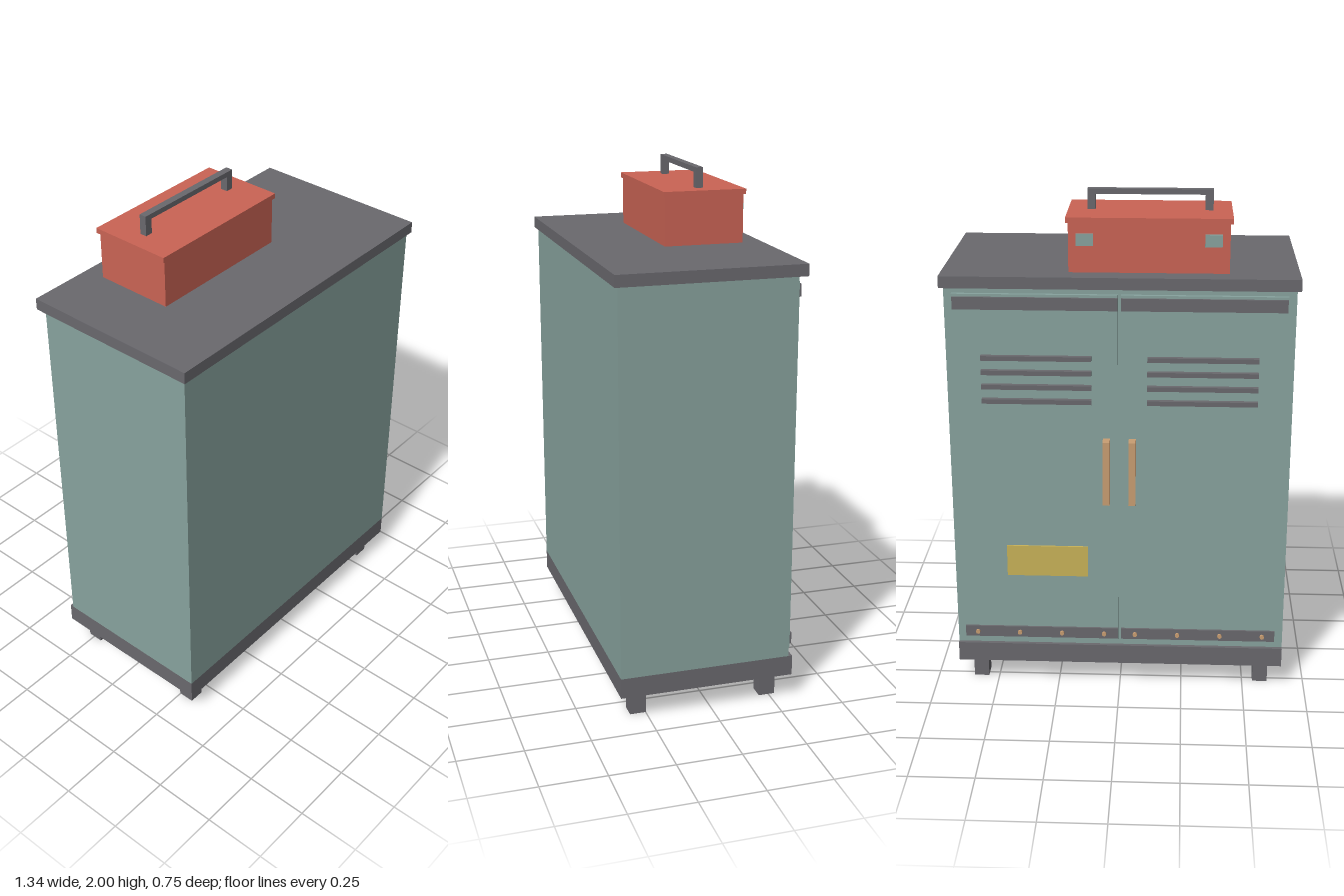
import * as THREE from 'three';

const material = (name, color) => {
  const m = new THREE.MeshStandardMaterial({ color });
  m.name = name;
  return m;
};

export function createModel() {
  const teal = material('teal paint', 0x88a39e);
  const dark = material('dark grey metal', 0x6a696e);
  const red = material('red paint', 0xcb6455);
  const tan = material('tan metal', 0xc99e73);
  const yellow = material('yellow label', 0xc9b359);

  const model = new THREE.Group();
  model.name = 'cabinet with toolbox';

  // Box given by its extents along each axis
  const box = (parent, name, mat, [x0, x1], [y0, y1], [z0, z1]) => {
    const mesh = new THREE.Mesh(new THREE.BoxGeometry(x1 - x0, y1 - y0, z1 - z0), mat);
    mesh.position.set((x0 + x1) / 2, (y0 + y1) / 2, (z0 + z1) / 2);
    mesh.name = name;
    parent.add(mesh);
    return mesh;
  };
  const group = (name) => {
    const g = new THREE.Group();
    g.name = name;
    model.add(g);
    return g;
  };

  // Cabinet carcass
  const cabinet = group('cabinet');
  box(cabinet, 'body', teal, [-0.655, 0.655], [0.18, 1.67], [-0.31, 0.36]);
  box(cabinet, 'plinth', dark, [-0.655, 0.655], [0.10, 0.18], [-0.325, 0.36]);
  box(cabinet, 'worktop', dark, [-0.668, 0.668], [1.67, 1.715], [-0.342, 0.373]);
  for (const x of [-0.573, 0.573])
    for (const z of [-0.243, 0.28])
      box(cabinet, 'foot', dark, [x - 0.03, x + 0.03], [0, 0.10], [z - 0.032, z + 0.032]);

  // Pair of doors on the back, mirrored about x = 0
  const doorFace = -0.325;
  for (const side of [-1, 1]) {
    const door = group(side > 0 ? 'leftDoor' : 'rightDoor');
    const span = (a, b) => (side > 0 ? [a, b] : [-b, -a]);
    box(door, 'doorPanel', teal, span(0.006, 0.625), [0.205, 1.645], [doorFace, -0.31]);
    box(door, 'topRail', dark, span(0.006, 0.622), [1.587, 1.635], [-0.333, doorFace]);
    box(door, 'bottomRail', dark, span(0.006, 0.622), [0.216, 0.262], [-0.333, doorFace]);

    // Vent slats
    for (let i = 0; i < 4; i++) {
      const y = 1.401 - i * 0.057;
      box(door, 'ventSlat', dark, span(0.105, 0.522), [y - 0.009, y + 0.009], [-0.344, doorFace]);
    }

    // Pull handle
    box(door, 'doorHandle', tan, span(0.036, 0.063), [0.82, 1.08], [-0.373, doorFace]);

    // Rivets along the bottom rail
    for (let i = 0; i < 4; i++) {
      const rivet = new THREE.Mesh(new THREE.CylinderGeometry(0.009, 0.009, 0.01, 8), tan);
      rivet.rotation.x = Math.PI / 2;
      rivet.position.set(side * (0.062 + i * 0.17), 0.239, -0.338);
      rivet.name = 'rivet';
      door.add(rivet);
    }
    if (side > 0) box(door, 'labelPlate', yellow, [0.125, 0.445], [0.493, 0.622], [-0.332, doorFace]);
  }

  // Toolbox on the worktop
  const toolbox = group('toolbox');
  box(toolbox, 'toolboxBody', red, [-0.406, 0.192], [1.715, 1.902], [-0.262, 0.05]);
  box(toolbox, 'toolboxLid', red, [-0.416, 0.201], [1.902, 1.922], [-0.27, 0.056]);
  box(toolbox, 'handleBar', dark, [-0.344, 0.128], [1.98, 2], [-0.121, -0.093]);
  for (const x of [-0.344, 0.098])
    box(toolbox, 'handlePost', dark, [x, x + 0.03], [1.922, 1.98], [-0.121, -0.093]);
  for (const x of [-0.345, 0.131])
    box(toolbox, 'latch', teal, [x - 0.032, x + 0.032], [1.817, 1.862], [-0.273, -0.262]);

  return model;
}
